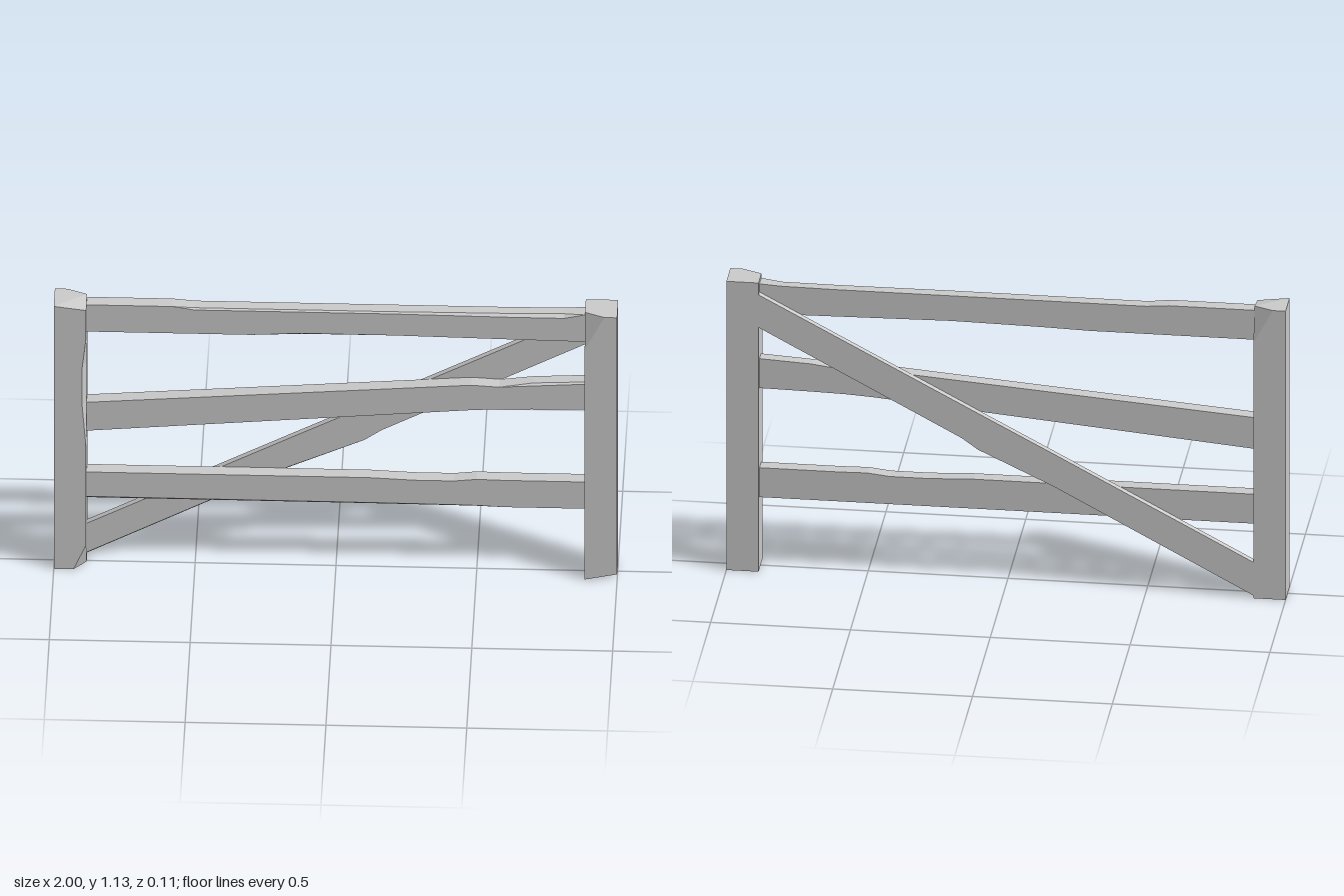
import * as THREE from 'three';

const wood = new THREE.MeshStandardMaterial({ color: 0xcccccc });
wood.name = 'pale grey wood';

// Faceted solid through rings of points; rings run counterclockwise seen from the far end
function loft(name, rings) {
  const pos = [];
  const tri = (a, b, c) => {
    const area = b.clone().sub(a).cross(c.clone().sub(a)).length();
    if (area > 1e-8) for (const p of [a, b, c]) pos.push(p.x, p.y, p.z);
  };
  const n = rings[0].length;
  for (let k = 0; k < rings.length - 1; k++) {
    const a = rings[k], b = rings[k + 1];
    for (let i = 0; i < n; i++) {
      const j = (i + 1) % n;
      tri(a[i], a[j], b[j]);
      tri(a[i], b[j], b[i]);
    }
  }
  const first = rings[0], last = rings[rings.length - 1];
  for (let i = 1; i < n - 1; i++) {
    tri(first[0], first[i + 1], first[i]);
    tri(last[0], last[i], last[i + 1]);
  }
  const g = new THREE.BufferGeometry();
  g.setAttribute('position', new THREE.Float32BufferAttribute(pos, 3));
  g.computeVertexNormals();
  const mesh = new THREE.Mesh(g, wood);
  mesh.name = name;
  return mesh;
}

// Post: stations of height, corner cuts [dx, dz] and corner lifts.
// Corners: 0 front -x, 1 front +x, 2 back +x, 3 back -x
function post(name, cx, stations) {
  const w = 0.0575, d = 0.056;
  const signs = [[-1, 1], [1, 1], [1, -1], [-1, -1]];
  return loft(name, stations.map(({ y, cut = {}, lift = {} }) =>
    signs.flatMap(([sx, sz], i) => {
      const [dx, dz] = cut[i] || [0, 0];
      const h = y + (lift[i] || 0);
      const alongZ = new THREE.Vector3(cx + sx * w, h, sz * (d - dz));
      const alongX = new THREE.Vector3(cx + sx * (w - dx), h, sz * d);
      return i % 2 ? [alongX, alongZ] : [alongZ, alongX];
    })));
}

// Board: stations [x, bottom, top, front top bevel, front bottom bevel]
function board(name, zBack, zFront, stations) {
  return loft(name, stations.map(([x, y0, y1, t = 0, b = 0]) => [
    [y0 + b, zFront], [y0, zFront - b], [y0, zBack],
    [y1, zBack], [y1, zFront - t], [y1 - t, zFront],
  ].map(([y, z]) => new THREE.Vector3(x, y, z))));
}

export function createModel() {
  const fence = new THREE.Group();
  fence.name = 'fence';

  // Chipped end posts
  fence.add(post('rightPost', -0.9425, [
    { y: 0, cut: { 1: [0.045, 0.05] } },
    { y: 0.105 },
    { y: 0.52 },
    { y: 0.7, cut: { 1: [0.014, 0.04] } },
    { y: 0.87, cut: { 1: [0.014, 0.04] } },
    { y: 1.0 },
    { y: 1.13, cut: { 2: [0.07, 0.03] }, lift: { 1: -0.015 } },
  ]));
  fence.add(post('leftPost', 0.9425, [
    { y: 0, lift: { 1: 0.025 } },
    { y: 0.99 },
    { y: 1.13, cut: { 0: [0.07, 0.03] } },
  ]));

  // Three rails with worn edges
  const back = -0.03, front = 0.02;
  fence.add(board('topRail', back, front, [
    [-0.885, 1.0, 1.115], [-0.58, 1.0, 1.115],
    [-0.5, 1.0, 1.108, 0.006], [-0.3, 1.0, 1.108, 0.006],
    [-0.12, 1.005, 1.108, 0.006, 0.006], [0.2, 1.01, 1.108, 0.006],
    [0.62, 1.003, 1.108, 0.01], [0.81, 1.0, 1.11, 0.012], [0.885, 1.0, 1.115],
  ]));
  fence.add(board('middleRail', back, front, [
    [-0.885, 0.573, 0.695], [0.48, 0.695, 0.802],
    [0.58, 0.701, 0.796], [0.7, 0.704, 0.812, 0.008], [0.885, 0.707, 0.822, 0.006],
  ]));
  fence.add(board('bottomRail', back, front, [
    [-0.885, 0.28, 0.395, 0, 0.01], [0.12, 0.28, 0.395, 0, 0.008],
    [0.28, 0.28, 0.388, 0, 0.007], [0.42, 0.28, 0.388, 0, 0.006],
    [0.5, 0.28, 0.397, 0, 0.005], [0.6, 0.28, 0.395], [0.885, 0.28, 0.395],
  ]));

  // Diagonal brace behind the rails
  fence.add(board('diagonalBrace', -0.055, -0.03, [
    [-0.885, 0.01, 0.14, 0, 0.006], [-0.17, 0.395, 0.522, 0, 0.006],
    [0.1, 0.523, 0.665], [0.16, 0.566, 0.697], [0.885, 0.955, 1.083],
  ]));
  return fence;
}
